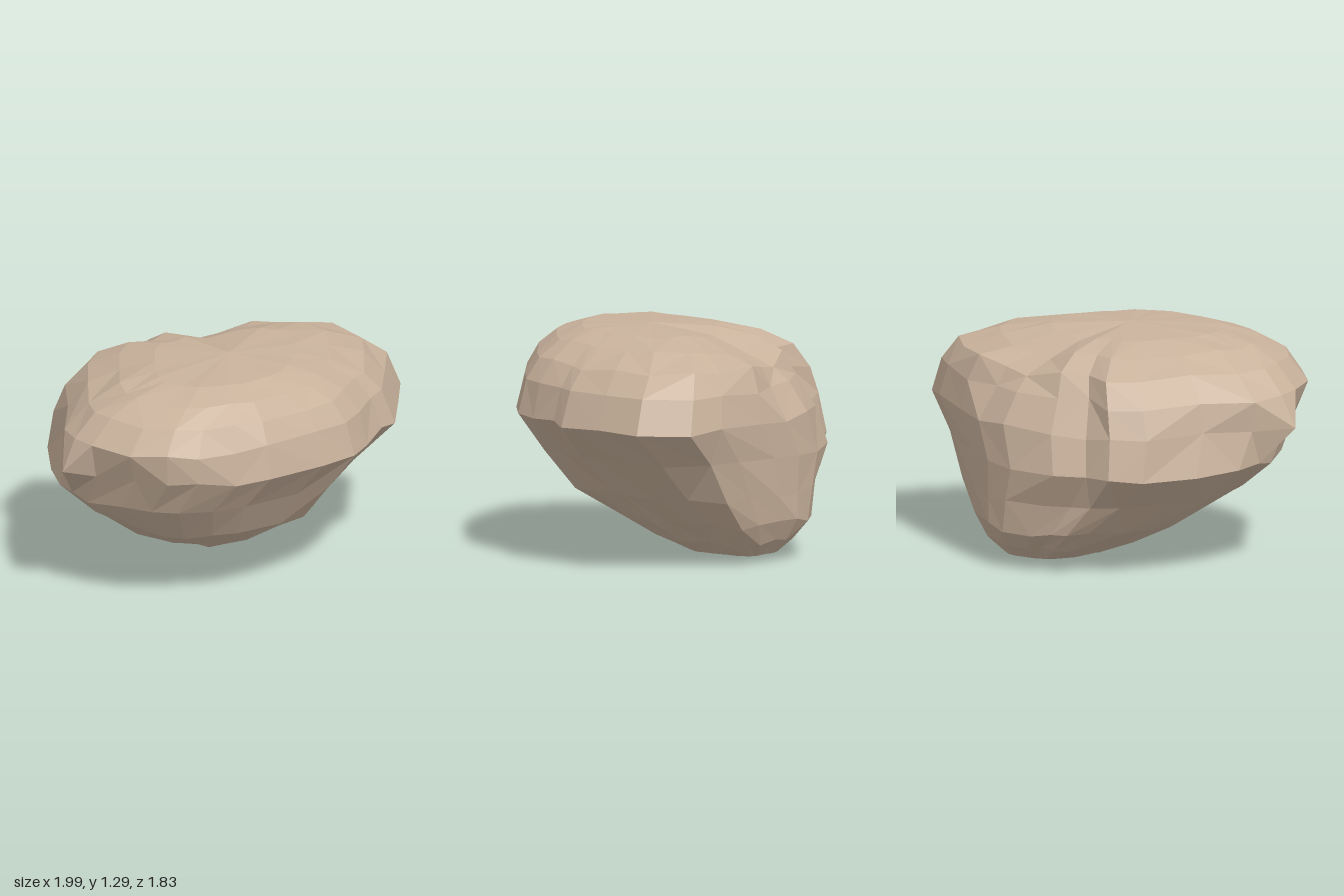
import * as THREE from 'three';

// Plan outline of the boulder at its widest, counter-clockwise seen from above: [x, z]
const OUTLINE = [
  [1, -0.65], [0.78, -0.87], [0.55, -0.91], [0.2, -0.915], [-0.05, -0.91], [-0.3, -0.86],
  [-0.6, -0.69], [-0.74, -0.53], [-0.91, -0.45], [-1, -0.26], [-0.97, 0.1], [-0.94, 0.4],
  [-0.88, 0.57], [-0.78, 0.68], [-0.57, 0.83], [-0.38, 0.91], [-0.2, 0.91], [0.02, 0.87],
  [0.22, 0.81], [0.53, 0.59], [0.72, 0.44], [0.8, 0.27], [0.88, 0.05], [0.96, -0.07],
  [0.98, -0.36],
];

// Cross-sections from bottom to top: y, xMin, xMax, zMin, zMax, roundness, wobble
const LEVELS = [
  [0.04, -0.3, 0.13, -0.75, -0.17, 0.9, 0.005],
  [0.12, -0.46, 0.26, -0.83, 0.03, 0.85, 0.015],
  [0.23, -0.64, 0.41, -0.89, 0.25, 0.75, 0.02],
  [0.4, -0.8, 0.59, -0.905, 0.62, 0.55, 0.025],
  [0.61, -1, 0.79, -0.91, 0.79, 0.28, 0.02],
  [0.82, -0.96, 1, -0.915, 0.915, 0, 0.02],
  [1.0, -0.9, 0.93, -0.89, 0.88, 0.03, 0.02],
  [1.13, -0.78, 0.81, -0.82, 0.8, 0.12, 0.018],
  [1.22, -0.6, 0.61, -0.65, 0.68, 0.28, 0.012],
  [1.27, -0.4, 0.4, -0.4, 0.5, 0.45, 0.005],
];
const RIDGE = 5;
const CORNER = 0, SPIKE = 12;

// Worn hollow on the back shoulder: a plane and the sideways band it covers
const HOLLOW_NORMAL = new THREE.Vector3(-0.234, 0.91, -0.336).normalize();
const HOLLOW_SIDE = new THREE.Vector3(0.82, 0, -0.57);

function wearHollow(p) {
  const side = p.dot(HOLLOW_SIDE);
  const excess = p.dot(HOLLOW_NORMAL) - 1.255;
  if (side > 0.1 && side < 0.6 && excess > 0) p.addScaledVector(HOLLOW_NORMAL, -excess);
}

function seeded(seed) {
  return () => {
    seed = (seed * 16807) % 2147483647;
    return seed / 2147483647;
  };
}

function buildRock() {
  const random = seeded(421);
  const n = OUTLINE.length;
  const points = [];

  // Fit the outline into each section's extents, rounding it towards an ellipse
  LEVELS.forEach(([y, x0, x1, z0, z1, round, wobble], level) => {
    OUTLINE.forEach(([u, oz], i) => {
      const v = oz / 0.915;
      // The underside keeps squarer corners at the back
      const rounding = level < RIDGE && v < 0 ? round * 0.55 : round;
      let k = THREE.MathUtils.lerp(1, 1 / Math.hypot(u, v), rounding) * (1 - random() * wobble);
      if (level > RIDGE) {
        // Dome: fuller at the front right, drawn in at the back
        if (u < 0 && v > 0) k += -0.2 * u * v;
        if (i >= 4 && i <= 7) k *= 0.9;
      }
      const lift = (random() - 0.5) * wobble * 1.8;
      const p = new THREE.Vector3(
        (x0 + x1) / 2 + u * k * (x1 - x0) / 2,
        y + lift,
        (z0 + z1) / 2 + v * k * (z1 - z0) / 2
      );
      wearHollow(p);
      // Sharp corner and small pointed chip on the widest ridge
      if (level === RIDGE && i === CORNER) p.set(1, 0.82, -0.65);
      if (level === RIDGE && i === SPIKE) p.set(-0.93, 0.82, 0.65);
      points.push(p);
    });
  });

  const bottom = points.push(new THREE.Vector3(-0.1, 0, -0.48)) - 1;
  const top = points.push(new THREE.Vector3(0.02, 1.29, 0.04)) - 1;

  // Join the sections, splitting quads along varied diagonals
  const index = [];
  const last = (LEVELS.length - 1) * n;
  for (let i = 0; i < n; i++) {
    const j = (i + 1) % n;
    for (let level = 0; level < LEVELS.length - 1; level++) {
      const a = level * n + i, b = level * n + j, c = b + n, d = a + n;
      if (random() < 0.5) index.push(a, b, c, a, c, d);
      else index.push(a, b, d, b, c, d);
    }
    index.push(j, i, bottom, last + i, last + j, top);
  }

  const geometry = new THREE.BufferGeometry().setFromPoints(points);
  geometry.setIndex(index);
  const faceted = geometry.toNonIndexed();
  faceted.computeVertexNormals();
  return faceted;
}

export function createModel() {
  const group = new THREE.Group();
  group.name = 'boulder';
  const material = new THREE.MeshStandardMaterial({ color: 0xc9b29c, flatShading: true });
  const rock = new THREE.Mesh(buildRock(), material);
  rock.name = 'rock';
  group.add(rock);
  return group;
}
